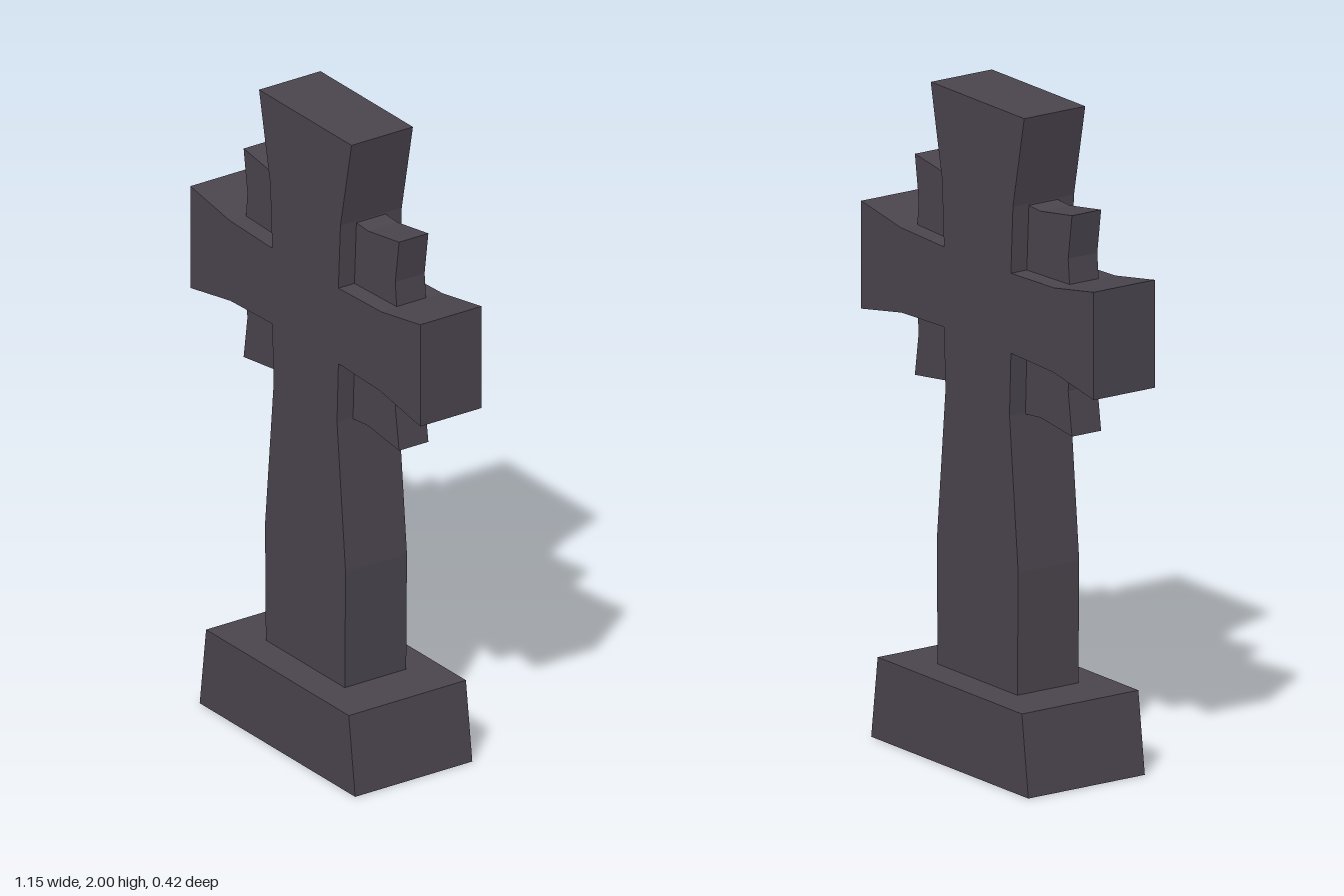
import * as THREE from 'three';

// Closed slab, centred on z, from the +x half of an outline listed top to bottom
function mirroredSlab(half, depth) {
  const points = [
    ...half.map(([x, y]) => new THREE.Vector2(-x, y)),
    ...half.slice().reverse().map(([x, y]) => new THREE.Vector2(x, y)),
  ];
  const geometry = new THREE.ExtrudeGeometry(new THREE.Shape(points), { depth, bevelEnabled: false });
  return geometry.translate(0, 0, -depth / 2);
}

// Tapered block with an open underside
function openPlinth(bottomHalf, topHalf, height, depth) {
  const geometry = new THREE.BoxGeometry(2, height, depth).translate(0, height / 2, 0);
  const p = geometry.attributes.position;
  for (let i = 0; i < p.count; i++) {
    p.setX(i, Math.sign(p.getX(i)) * (p.getY(i) > height / 2 ? topHalf : bottomHalf));
  }
  const index = Array.from(geometry.index.array);
  index.splice(18, 6); // remove the bottom face
  geometry.setIndex(index);
  geometry.clearGroups();
  geometry.computeVertexNormals();
  return geometry;
}

export function createModel() {
  const group = new THREE.Group();
  const stone = new THREE.MeshStandardMaterial({ color: 0x4a444d, side: THREE.DoubleSide });
  stone.name = 'dark stone';

  const add = (name, geometry) => {
    const mesh = new THREE.Mesh(geometry, stone);
    mesh.name = name;
    group.add(mesh);
  };

  // Plinth
  add('plinth', openPlinth(0.39, 0.358, 0.248, 0.416));

  // Cross with flared head, arms and shaft
  add('cross', mirroredSlab([
    [0.232, 2], [0.176, 1.72], [0.166, 1.517],
    [0.38, 1.524], [0.577, 1.558], [0.577, 1.232], [0.376, 1.268],
    [0.166, 1.275], [0.159, 1.085], [0.202, 0.62], [0.198, 0.249],
  ], 0.218));

  // Thinner flared plate filling the corners between the arms
  add('cornerPlate', mirroredSlab([
    [0.16, 1.716], [0.234, 1.711], [0.39, 1.735], [0.371, 1.6], [0.38, 1.5],
    [0.38, 1.3], [0.371, 1.2], [0.39, 1.067], [0.234, 1.087], [0.15, 1.079],
  ], 0.104));

  return group;
}
